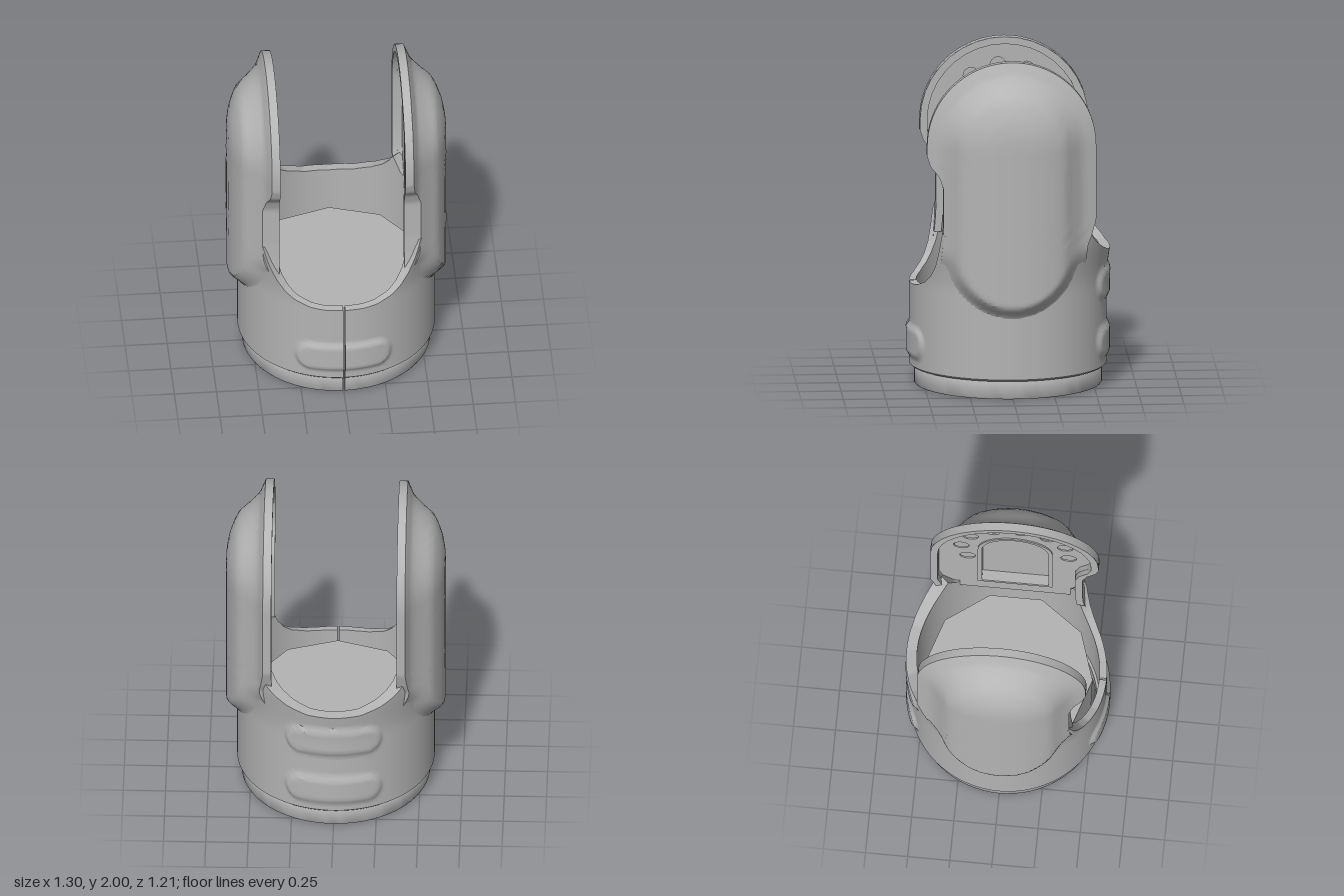
import * as THREE from 'three';
import { toCreasedNormals } from 'three/addons/utils/BufferGeometryUtils.js';

const { smoothstep, lerp } = THREE.MathUtils;
const DEG = Math.PI / 180;

// Piecewise linear lookup in a short table of [input, output]
function table(points, v) {
  if (v <= points[0][0]) return points[0][1];
  for (let i = 1; i < points.length; i++) {
    const [a, p] = points[i - 1], [b, q] = points[i];
    if (v <= b) return lerp(p, q, (v - a) / (b - a));
  }
  return points[points.length - 1][1];
}

// Surface through rows of [x, y, z] points
function loft(rows, crease = 0.6) {
  const n = rows[0].length, index = [];
  for (let i = 0; i < rows.length - 1; i++) {
    for (let j = 0; j < n - 1; j++) {
      const a = i * n + j, b = a + n;
      index.push(a, b, a + 1, b, b + 1, a + 1);
    }
  }
  const g = new THREE.BufferGeometry();
  g.setAttribute('position', new THREE.Float32BufferAttribute(rows.flat(2), 3));
  g.setIndex(index);
  return toCreasedNormals(g, crease);
}

// Copy on the other side of x = 0, with the corner order turned round
function mirrored(geometry) {
  const g = geometry.index ? geometry.toNonIndexed() : geometry.clone();
  g.scale(-1, 1, 1);
  const index = [];
  for (let i = 0; i < g.attributes.position.count; i += 3) index.push(i, i + 2, i + 1);
  g.setIndex(index);
  return g;
}

// Front and back edges of the side walls, by height
const FRONT = [[0.8, 0.42], [0.9, 0.41], [1, 0.405], [1.25, 0.405], [1.32, 0.43], [1.38, 0.48], [1.44, 0.5]];
const BACK = [[0.8, 0.44], [0.9, 0.45], [0.95, 0.47], [1.05, 0.5]];
// Bulge of the pod by distance from its axis
const BULGE = [[0, 0.65], [0.1, 0.645], [0.18, 0.63], [0.25, 0.605], [0.31, 0.575], [0.36, 0.515], [0.42, 0.455], [0.5, 0.42]];
// Top of the cup by angle from the front
const RIM = [[0, 0.613], [12, 0.615], [20, 0.625], [30, 0.66], [36, 0.705], [41, 0.77], [45, 0.86], [47, 0.93], [49, 1],
  [54, 0.9], [130, 0.9], [137, 1], [140, 0.95], [145, 0.905], [153, 0.86], [165, 0.82], [180, 0.81]];

// Outer radius of the cup, flaring towards the pods
const cupRadius = y => 0.583 + 0.04 * smoothstep(y, 0.62, 1);

// Outer x of the side wall and its pod
function podX(z, y) {
  const w = Math.abs(z);
  if (y > 1.5) return table(BULGE, Math.hypot(z, y - 1.5));
  const pod = table(BULGE, w);
  if (y > 0.9) return pod;
  const r = cupRadius(y) - 0.004;
  const cup = Math.max(0.37, Math.sqrt(r * r - z * z));
  const k = smoothstep(Math.hypot(z, 0.9 - y), 0.33, 0.42) * smoothstep(0.9 - y, 0, 0.14);
  return lerp(pod, cup, k);
}

function podSkin() {
  const rows = [], cols = 36;
  const addRow = (y, back, front) => {
    const row = [[0.37, y, -back]];
    for (let j = 0; j <= cols; j++) {
      const z = lerp(-back, front, j / cols);
      row.push([podX(z, y), y, z]);
    }
    row.push([0.37, y, front]);
    rows.push(row);
  };
  for (let i = 0; i < 52; i++) {
    const y = 0.46 + 0.02 * i;
    addRow(y, table(BACK, y), table(FRONT, y));
  }
  for (let i = 0; i <= 18; i++) {
    const a = i * 5 * DEG;
    addRow(1.5 + 0.5 * Math.sin(a), 0.5 * Math.cos(a), 0.5 * Math.cos(a));
  }
  return loft(rows);
}

// Outline of the side wall from the lower back corner over the top to the front
function wallOutline(inset) {
  const p = [];
  for (const y of [0.83, 0.9, 0.95, 1.05]) p.push([table(BACK, y) - inset, y]);
  for (let a = 0; a <= 180; a += 10) {
    p.push([(0.5 - inset) * Math.cos(a * DEG), 1.5 + (0.5 - inset) * Math.sin(a * DEG)]);
  }
  for (const y of [1.44, 1.38, 1.32, 1.25, 1, 0.9, 0.83]) p.push([-table(FRONT, y) + inset, y]);
  return p.map(([x, y]) => new THREE.Vector2(x, y));
}

// Band between two insets of the outline, open at the bottom
const wallBand = (outer, inner) => new THREE.Shape([...wallOutline(outer), ...wallOutline(inner).reverse()]);

function archPath(half, bottom, springing) {
  const p = new THREE.Path();
  p.moveTo(-half, bottom);
  p.lineTo(half, bottom);
  p.lineTo(half, springing);
  p.absarc(0, springing, half, 0, Math.PI, false);
  p.closePath();
  return p;
}

// Plate lying across x, from x0 to x1
function plate(shape, x0, x1) {
  const g = new THREE.ExtrudeGeometry(shape, { depth: x1 - x0, bevelEnabled: false, curveSegments: 10 });
  g.rotateY(Math.PI / 2);
  g.translate(x0, 0, 0);
  return toCreasedNormals(g, 0.5);
}

function block(w, h, d, x, y, z) {
  const g = new THREE.BoxGeometry(w, h, d);
  g.translate(x, y, z);
  return g;
}

// Raised grip pad on the cup
function pad(angle, y, centre) {
  const d = Math.hypot(Math.max(Math.abs(angle * 0.585) - 0.2, 0), y - centre);
  return 0.02 * (1 - smoothstep(d, 0.07, 0.105));
}

function cupWall(gap) {
  const rows = [], steps = 240, up = 32;
  for (let i = 0; i <= steps; i++) {
    const t = lerp(gap, 2 * Math.PI - gap, i / steps);
    const front = t > Math.PI ? t - 2 * Math.PI : t;
    const back = t - Math.PI;
    const top = table(RIM, Math.abs(front) / DEG);
    const profile = [[0.57, 0.11]];
    for (let j = 0; j <= up; j++) {
      const y = lerp(0.122, top, j / up);
      profile.push([cupRadius(y) + pad(front, y, 0.27) + pad(back, y, 0.27) + pad(back, y, 0.62), y]);
    }
    profile.push([0.54, top + 0.005], [0.54, 0.11], [0.57, 0.11]);
    rows.push(profile.map(([r, y]) => [r * Math.sin(t), y, r * Math.cos(t)]));
  }
  return loft(rows);
}

export function createModel() {
  const model = new THREE.Group();
  model.name = 'cupHolderWithSidePods';
  const grey = new THREE.MeshStandardMaterial({ color: 0xb4b4b4 });
  grey.name = 'grey';
  const add = (name, geometry) => {
    const mesh = new THREE.Mesh(geometry, grey);
    mesh.name = name;
    model.add(mesh);
  };
  const addPair = (name, geometry) => {
    add(name + 'Left', geometry);
    add(name + 'Right', mirrored(geometry));
  };

  // Cup with a narrow slit at the front
  const gap = 0.01;
  add('cupWall', cupWall(gap));
  const ring = [[0.525, 0], [0.55, 0], [0.556, 0.01], [0.556, 0.095], [0.545, 0.115], [0.525, 0.115], [0.525, 0]];
  add('baseRing', toCreasedNormals(new THREE.LatheGeometry(
    ring.map(([r, y]) => new THREE.Vector2(r, y)), 72, gap, 2 * Math.PI - 2 * gap), 0.6));

  // Ends of the wall and ring at the slit
  addPair('slitWallEnd', block(0.006, 0.498, 0.041, 0.0088, 0.362, 0.561));
  addPair('slitRingEnd', block(0.006, 0.11, 0.028, 0.0084, 0.057, 0.54));

  // Loose floor block
  const floor = new THREE.CylinderGeometry(0.5, 0.49, 0.47, 10);
  floor.translate(0, 0.335, 0);
  add('floorBlock', toCreasedNormals(floor, 0.3));

  // Bulging side pods
  addPair('sidePod', podSkin());

  // Raised rim round the inside of each side wall, and its inner step
  addPair('innerRim', plate(wallBand(0.002, 0.045), 0.37, 0.418));
  addPair('rimStep', plate(wallBand(0.04, 0.047), 0.4, 0.437));

  // Inner panel with an arched window and a row of holes
  const panel = new THREE.Shape(wallOutline(0.044));
  panel.holes.push(archPath(0.2, 0.97, 1.49));
  for (let k = 0; k < 8; k++) {
    const a = (-28 + k * 31) * DEG;
    const hole = new THREE.Path();
    hole.absarc(0.32 * Math.cos(a), 1.5 + 0.32 * Math.sin(a), 0.047, 0, 2 * Math.PI, false);
    panel.holes.push(hole);
  }
  addPair('innerPanel', plate(panel, 0.43, 0.439));
  addPair('panelLedge', block(0.11, 0.02, 0.6, 0.49, 0.842, 0));

  // Frame round the window
  const frame = new THREE.Shape(archPath(0.222, 0.948, 1.49).getPoints(10));
  frame.holes.push(archPath(0.198, 0.972, 1.49));
  addPair('windowFrame', plate(frame, 0.422, 0.495));

  // Backing behind the holes and window
  const backing = new THREE.Shape(archPath(0.365, 0.9, 1.5).getPoints(12));
  addPair('panelBacking', plate(backing, 0.485, 0.495));

  return model;
}
